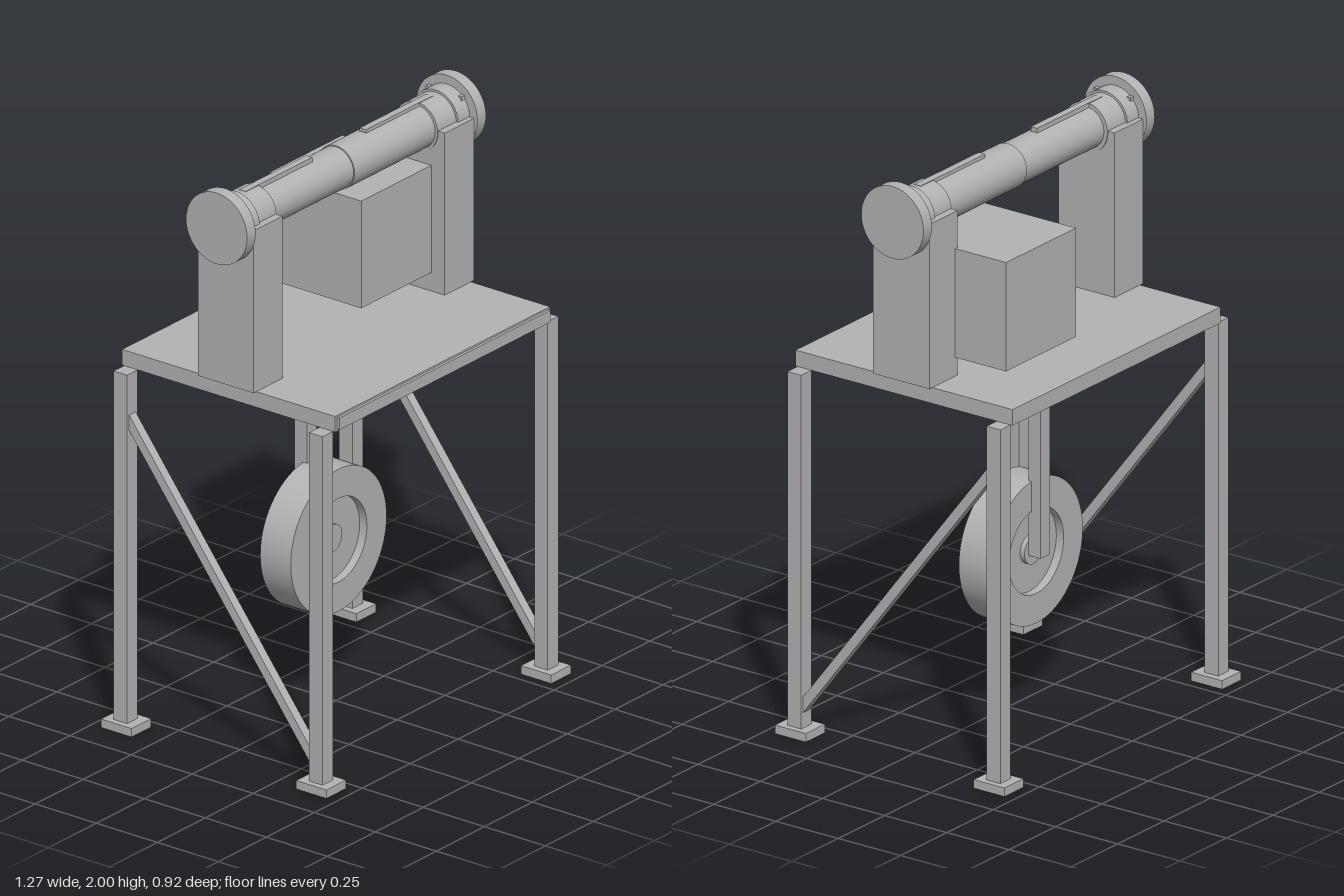
import * as THREE from 'three';

export function createModel() {
  const model = new THREE.Group();
  model.name = 'rollerStand';
  const grey = new THREE.MeshStandardMaterial({ color: 0xb3b3b3 });
  grey.name = 'plain grey';

  const add = (name, geometry, x = 0, y = 0, z = 0) => {
    const mesh = new THREE.Mesh(geometry, grey);
    mesh.name = name;
    mesh.position.set(x, y, z);
    model.add(mesh);
    return mesh;
  };
  // Box given by its limits on each axis
  const box = (name, x0, x1, y0, y1, z0, z1) => add(name,
    new THREE.BoxGeometry(x1 - x0, y1 - y0, z1 - z0),
    (x0 + x1) / 2, (y0 + y1) / 2, (z0 + z1) / 2);
  // Cylinder along x on the roller axis
  const axisY = 1.875;
  const rod = (name, radius, x0, x1) => add(name,
    new THREE.CylinderGeometry(radius, radius, Math.abs(x1 - x0), 64).rotateZ(Math.PI / 2),
    (x0 + x1) / 2, axisY, 0);

  // Table top with a thin front apron
  box('tableTop', -0.56, 0.56, 1.255, 1.31, -0.436, 0.436);
  box('frontApron', -0.55, 0.55, 1.262, 1.304, 0.436, 0.446);

  for (const s of [-1, 1]) {
    const side = s < 0 ? 'right' : 'left';

    // Legs and feet
    for (const f of [-1, 1]) {
      add(side + 'Leg', new THREE.BoxGeometry(0.055, 1.225, 0.055), s * 0.587, 0.6425, f * 0.4);
      add(side + 'Foot', new THREE.BoxGeometry(0.102, 0.03, 0.124), s * 0.586, 0.015, f * 0.399);
    }

    // Diagonal brace with ends cut flush against the legs
    const outline = new THREE.Shape([
      new THREE.Vector2(-0.373, 0.083), new THREE.Vector2(0.373, 1.058),
      new THREE.Vector2(0.373, 1.112), new THREE.Vector2(-0.373, 0.137),
    ]);
    const brace = new THREE.ExtrudeGeometry(outline, { depth: 0.034, bevelEnabled: false });
    brace.translate(0, 0, -0.017).rotateY(Math.PI / 2);
    add(side + 'Brace', brace, s * 0.587);

    // Pedestal carrying the roller
    add(side + 'Pedestal', new THREE.BoxGeometry(0.152, 0.57, 0.226), s * 0.499, 1.595, 0);

    // Stepped roller end
    rod(side + 'EndDisc', 0.125, s * 0.578, s * 0.623);
    rod(side + 'OuterCollar', 0.094, s * 0.518, s * 0.578);
    rod(side + 'InnerCollar', 0.086, s * 0.42, s * 0.518);
    rod(side + 'Shaft', s < 0 ? 0.072 : 0.076, 0, s * 0.42);

    // Key strip along the top of the shaft
    add(side + 'Key', new THREE.BoxGeometry(0.348, 0.05, 0.026), s * 0.314, 1.937, 0);

    // Small pins behind the end disc
    for (const f of [-1, 1]) {
      add(side + 'Pin', new THREE.BoxGeometry(0.018, 0.014, 0.014), s * 0.57, 1.942, f * 0.067);
    }
  }

  // Drive housing behind the roller
  box('driveHousing', 0.058, 0.436, 1.375, 1.752, -0.317, 0.058);

  // Wheel with a recess on each face; sharp corners come from separate lathe strips
  const wheel = new THREE.Group();
  wheel.name = 'wheel';
  wheel.position.set(0, 0.567, -0.0515);
  const half = 0.0625, web = 0.033;
  const profile = [
    [0, -web], [0.147, -web], [0.147, -half], [0.25, -half],
    [0.25, half], [0.147, half], [0.147, web], [0, web],
  ].map(([r, h]) => new THREE.Vector2(r, h));
  for (let i = 0; i < profile.length - 1; i++) {
    const strip = new THREE.Mesh(
      new THREE.LatheGeometry([profile[i], profile[i + 1]], 72).rotateX(Math.PI / 2), grey);
    strip.name = 'wheelSurface';
    wheel.add(strip);
  }
  model.add(wheel);

  // Hub and hanging strut
  add('hub', new THREE.CylinderGeometry(0.048, 0.048, 0.09, 40).rotateX(Math.PI / 2), 0, 0.567, -0.057);
  box('wheelStrut', -0.025, 0.025, 0.556, 1.255, -0.15, -0.1);

  return model;
}
